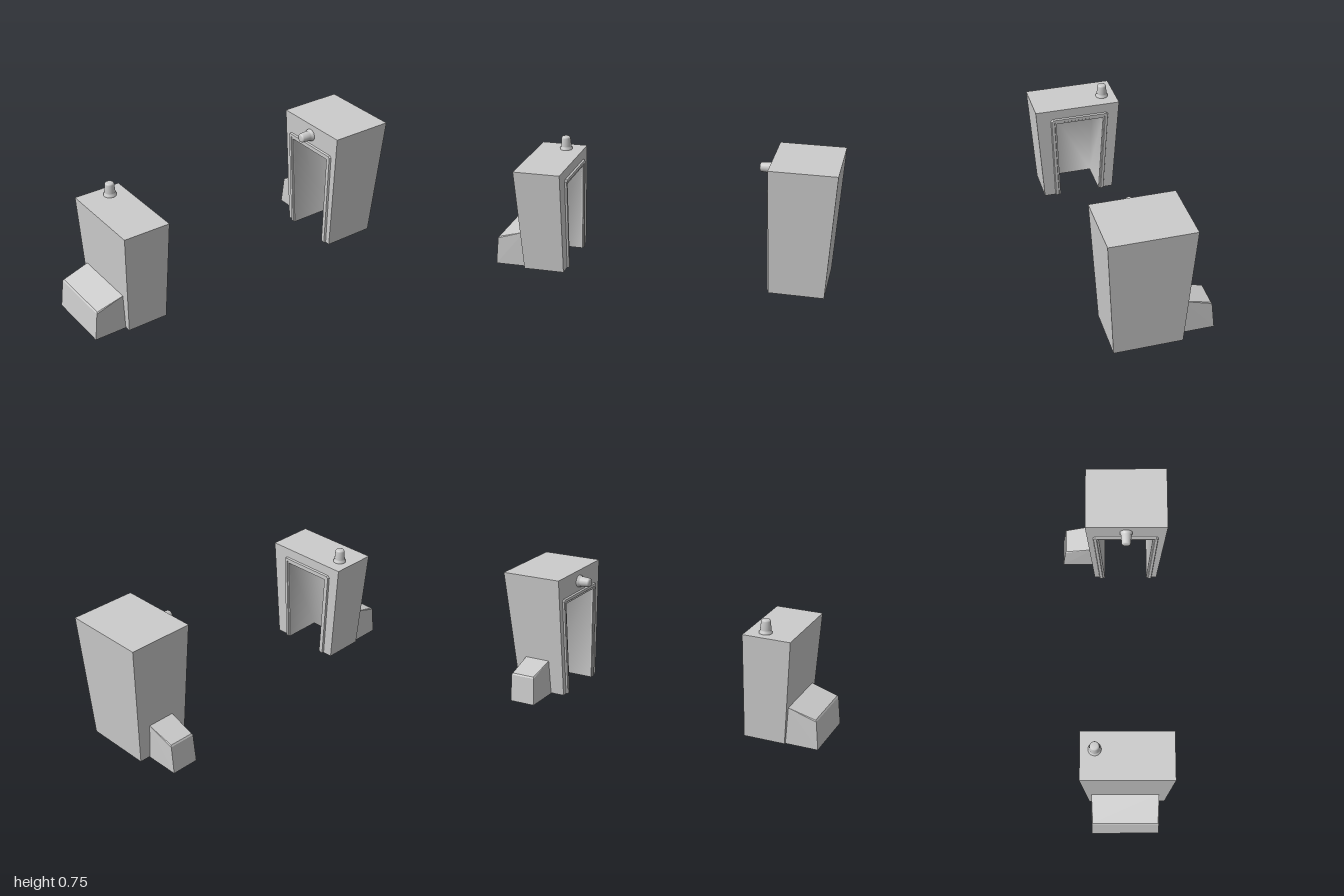
import * as THREE from 'three';
import { ConvexGeometry } from 'three/addons/geometries/ConvexGeometry.js';

const material = new THREE.MeshStandardMaterial({ color: 0xcccccc });
const flat = new THREE.MeshStandardMaterial({ color: 0xcccccc, flatShading: true });
const V = (x, y, z) => new THREE.Vector3(x, y, z);
const mix = THREE.MathUtils.lerp;

function named(name, geometry, mat = flat) {
  const mesh = new THREE.Mesh(geometry, mat);
  mesh.name = name;
  return mesh;
}

// Loose triangles from a list of points
function soup(points) {
  const g = new THREE.BufferGeometry().setFromPoints(points);
  g.computeVertexNormals();
  return g;
}

// Flared booth whose doorway faces +x: top and bottom are [x0, x1, z0, z1],
// door gives the outer edge of the frame at the foot and at the head.
function booth(name, { y0, y1, bottom, top, door }) {
  const group = new THREE.Group();
  group.name = name;
  const rect = y => bottom.map((b, i) => mix(b, top[i], (y - y0) / (y1 - y0)));
  const faceX = y => rect(y)[1];
  const corner = (y, xi, zi) => V(rect(y)[xi], y, rect(y)[2 + zi]);
  const onFace = (y, z, out = 0) => V(faceX(y) + out, y, z);

  // Opening inside the frame
  const w = 0.034;
  const head = door.height, lintel = head - w;
  const zFoot = [door.foot[0] + w, door.foot[1] - w];
  const zHead = [door.head[0] + w, door.head[1] - w];
  const depth = y => rect(y)[0] + 0.02;

  // Outer shell, each quad turned away from the booth's middle
  const middle = V((bottom[0] + bottom[1]) / 2, (y0 + y1) / 2, (bottom[2] + bottom[3]) / 2);
  const tris = [];
  const quad = (a, b, c, d) => {
    const n = b.clone().sub(a).cross(c.clone().sub(a));
    const out = a.clone().add(c).multiplyScalar(0.5).sub(middle);
    tris.push(...(n.dot(out) > 0 ? [a, b, c, a, c, d] : [a, c, b, a, d, c]));
  };
  quad(corner(y1, 0, 0), corner(y1, 1, 0), corner(y1, 1, 1), corner(y1, 0, 1));
  quad(corner(y0, 0, 0), corner(y0, 0, 1), corner(y1, 0, 1), corner(y1, 0, 0));
  for (const s of [0, 1]) {
    quad(corner(y0, 0, s), corner(y0, 1, s), corner(y1, 1, s), corner(y1, 0, s));
    // door jamb, then the rim under the side wall
    quad(corner(y0, 1, s), onFace(y0, zFoot[s]), onFace(lintel, zHead[s]), corner(lintel, 1, s));
    quad(corner(y0, 0, s), corner(y0, 1, s), onFace(y0, zFoot[s]), V(depth(y0), y0, zFoot[s]));
  }
  quad(corner(lintel, 1, 0), corner(lintel, 1, 1), corner(y1, 1, 1), corner(y1, 1, 0));
  quad(corner(y0, 0, 0), corner(y0, 0, 1), V(depth(y0), y0, zFoot[1]), V(depth(y0), y0, zFoot[0]));
  group.add(named('boothShell', soup(tris)));

  // Smooth, floorless interior
  const ring = X => [V(X(y0), y0, zFoot[0]), V(X(y0), y0, zFoot[1]),
    V(X(lintel), lintel, zHead[1]), V(X(lintel), lintel, zHead[0])];
  const inside = new THREE.BufferGeometry().setFromPoints([...ring(depth), ...ring(faceX)]);
  inside.setIndex([0, 3, 2, 0, 2, 1, 0, 4, 7, 0, 7, 3, 1, 2, 6, 1, 6, 5, 3, 7, 6, 3, 6, 2]);
  inside.computeVertexNormals();
  group.add(named('boothInterior', inside, material));

  // Door frame: a stepped profile swept up, across and down
  const c = 0.012;
  const [f0, f1] = door.foot, [h0, h1] = door.head;
  const outer = [[y0, f0], [head - c, h0], [head, h0 + c], [head, h1 - c], [head - c, h1], [y0, f1]];
  const inner = [[y0, zFoot[0]], [lintel, zHead[0]], [lintel, zHead[0]],
    [lintel, zHead[1]], [lintel, zHead[1]], [y0, zFoot[1]]];
  const profile = [[0, 0], [0.12, 0.011], [0.62, 0.011], [0.72, 0.006], [1, 0.006], [1, -0.004]];
  const sections = outer.map((o, i) => profile.map(([t, out]) =>
    onFace(mix(o[0], inner[i][0], t), mix(o[1], inner[i][1], t), out)));
  const frame = [];
  for (let i = 0; i < sections.length - 1; i++) {
    for (let j = 0; j < profile.length - 1; j++) {
      const [a, b] = [sections[i], sections[i + 1]];
      frame.push(a[j], b[j], b[j + 1], a[j], b[j + 1], a[j + 1]);
    }
  }
  for (let j = 1; j < profile.length - 1; j++) {
    const [a, b] = [sections[0], sections[sections.length - 1]];
    frame.push(a[0], a[j], a[j + 1], b[0], b[j + 1], b[j]);
  }
  group.add(named('doorFrame', soup(frame)));
  return group;
}

// Sloped box that grows along +z from a wall, with softened outer edges
function slopedBox(name, halfWidth, wallFoot, wallTop, reach) {
  const pts = [];
  for (const s of [-1, 1]) {
    pts.push(
      V(s * halfWidth, 0, wallFoot), V(s * halfWidth, 0.22, wallTop),
      V(s * (halfWidth - 0.008), 0.174, reach - 0.024),
      V(s * (halfWidth - 0.003), 0.165, reach - 0.018),
      V(s * halfWidth, 0, reach));
  }
  return named(name, new ConvexGeometry(pts));
}

// Flanged lamp, standing on y = 0
function lamp(name) {
  const profile = [[0.037, 0], [0.037, 0.009], [0.029, 0.016], [0.031, 0.022], [0.027, 0.07],
    [0.024, 0.077], [0.017, 0.08], [0, 0.08]].map(p => new THREE.Vector2(...p));
  return named(name, new THREE.LatheGeometry(profile, 20), material);
}

export function createModel() {
  const model = new THREE.Group();
  model.name = 'boothPair';

  // Shorter booth, doorway towards +x
  const small = booth('smallBooth', {
    y0: 0.004, y1: 0.627,
    bottom: [-0.81, -0.568, -0.153, 0.29], top: [-0.834, -0.556, -0.195, 0.33],
    door: { foot: [-0.095, 0.222], head: [-0.125, 0.238], height: 0.568 },
  });
  const smallLamp = lamp('topLamp');
  smallLamp.position.set(-0.66, 0.626, -0.112);
  const smallBox = slopedBox('sideBox', 0.195, 0.808, 0.816, 1);
  smallBox.rotation.y = -Math.PI / 2;
  smallBox.position.z = 0.058;
  small.add(smallLamp, smallBox);

  // Taller booth, turned round so its doorway looks towards -x
  const tall = booth('tallBooth', {
    y0: 0.004, y1: 0.755,
    bottom: [-0.956, -0.64, -0.262, 0.128], top: [-0.999, -0.618, -0.305, 0.173],
    door: { foot: [-0.232, 0.098], head: [-0.256, 0.13], height: 0.625 },
  });
  tall.rotation.y = Math.PI;
  const tallLamp = lamp('wallLamp');
  tallLamp.rotation.z = -Math.PI / 2;
  tallLamp.position.set(-0.621, 0.686, -0.065);
  const tallBox = slopedBox('backBox', 0.081, 0.127, 0.14, 0.328);
  tallBox.position.x = -0.81;
  tall.add(tallLamp, tallBox);

  model.add(small, tall);
  return model;
}
